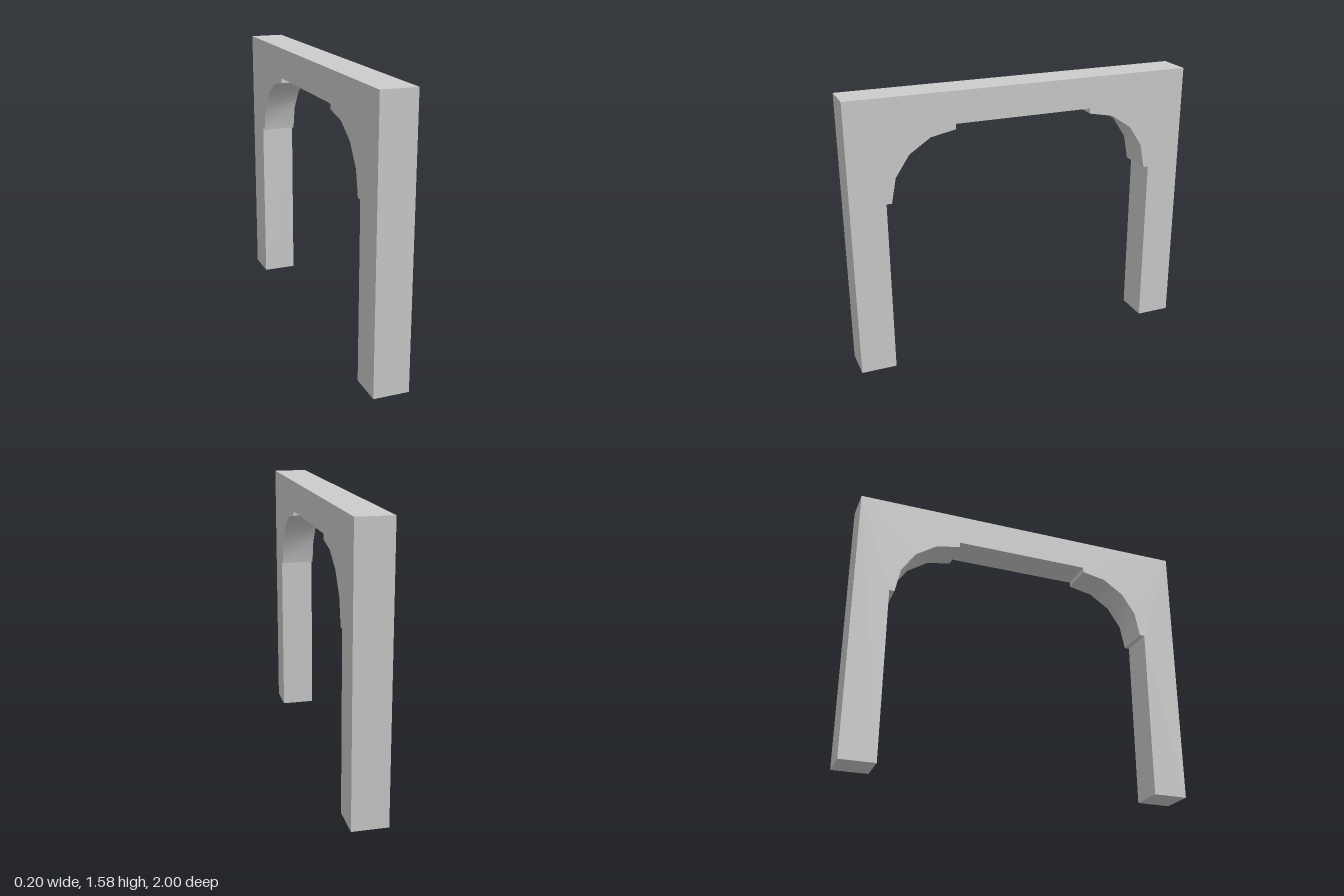
import * as THREE from 'three';
import { toCreasedNormals } from 'three/addons/utils/BufferGeometryUtils.js';

const WIDTH = 0.2, HALF = 1, HEIGHT = 1.58;
const POST_INNER = 0.8, BEAM_BOTTOM = 1.4;
const ARC_Z = 0.4, ARC_Y = 1, ARC_R = 0.37, ARC_STEPS = 4;

export function createModel() {
  const group = new THREE.Group();
  group.name = 'archway';

  // Inner edge of one post, its curved bracket and the step up to the beam
  const inner = [[POST_INNER, 0], [POST_INNER, ARC_Y]];
  for (let i = 0; i <= ARC_STEPS; i++) {
    const a = (i / ARC_STEPS) * Math.PI / 2;
    inner.push([ARC_Z + ARC_R * Math.cos(a), ARC_Y + ARC_R * Math.sin(a)]);
  }
  inner.push([ARC_Z, BEAM_BOTTOM]);

  // Whole outline: outer edge, then the inner edge and its mirror
  const mirrored = inner.map(([z, y]) => [-z, y]).reverse();
  const outline = [
    [-HALF, 0], [-HALF, HEIGHT], [HALF, HEIGHT], [HALF, 0],
    ...inner, ...mirrored,
  ];
  const shape = new THREE.Shape(outline.map(([z, y]) => new THREE.Vector2(z, y)));

  // Extrude across the thickness and turn the span along z
  const geometry = new THREE.ExtrudeGeometry(shape, { depth: WIDTH, bevelEnabled: false });
  geometry.translate(0, 0, -WIDTH / 2);
  geometry.rotateY(-Math.PI / 2);

  // Smooth the bracket curves, keep all other edges sharp
  const frame = new THREE.Mesh(
    toCreasedNormals(geometry, Math.PI / 6),
    new THREE.MeshStandardMaterial({ color: 0xcccccc }),
  );
  frame.name = 'archFrame';
  group.add(frame);
  return group;
}
